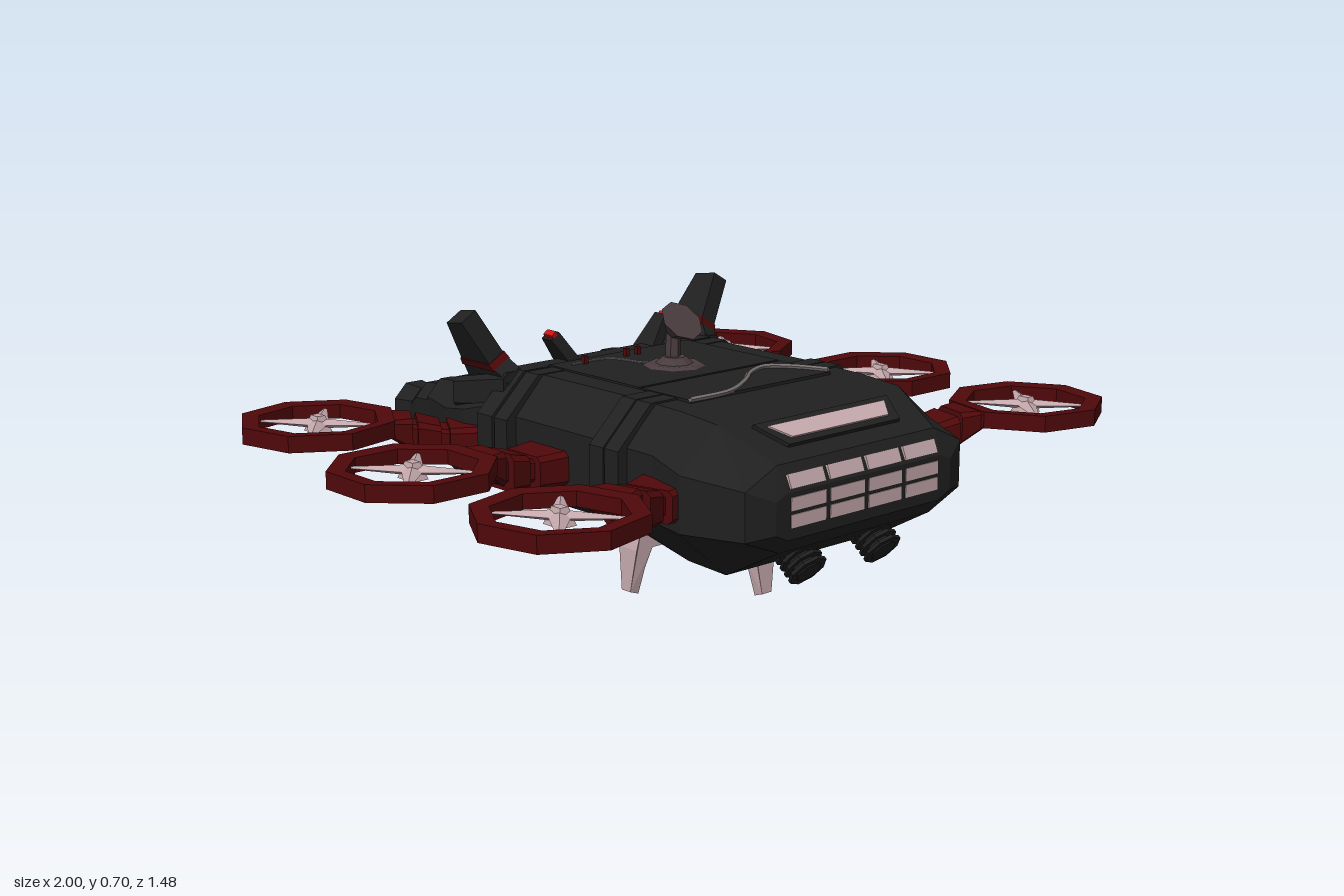
import * as THREE from 'three';

const mat = (color) => new THREE.MeshStandardMaterial({ color, flatShading: true, side: THREE.DoubleSide });
const black = mat(0x202020), red = mat(0x50080a), bright = mat(0xcc1111);
const pale = mat(0xc4a8ac), bronze = mat(0x4a3c3e), grey = mat(0x77706f);

function add(parent, name, geometry, material, x = 0, y = 0, z = 0, rx = 0, ry = 0) {
  const mesh = new THREE.Mesh(geometry, material);
  mesh.name = name;
  mesh.position.set(x, y, z);
  mesh.rotation.set(rx, ry, 0);
  parent.add(mesh);
  return mesh;
}
const box = (w, h, d) => new THREE.BoxGeometry(w, h, d);

function group(parent, name, x = 0, y = 0, z = 0) {
  const g = new THREE.Group();
  g.name = name;
  g.position.set(x, y, z);
  parent.add(g);
  return g;
}

// Eight-sided section: z, half width, side top/bottom, roof half width/height, floor half width/height
const section = (z, w, y2, y1, t, top, b, bot, cx = 0) => [
  [w, y1], [w, y2], [t, top], [-t, top], [-w, y2], [-w, y1], [-b, bot], [b, bot],
].map(([x, y]) => [x + cx, y, z]);

// Simple chamfered block section
const block = (z, w, top, bot, cx = 0, c = 0.3) => {
  const k = c * Math.min(w, (top - bot) / 2);
  return section(z, w, top - k, bot + k, w - k, top, w - k, bot, cx);
};

// Closed skin over sections ordered by rising z
function loft(sections) {
  const n = sections[0].length, index = [];
  for (let i = 0; i < sections.length - 1; i++) {
    for (let j = 0; j < n; j++) {
      const k = (j + 1) % n, a = i * n + j, b = i * n + k;
      index.push(a, b, b + n, a, b + n, a + n);
    }
  }
  const last = (sections.length - 1) * n;
  for (let j = 1; j < n - 1; j++) index.push(0, j + 1, j, last, last + j, last + j + 1);
  const g = new THREE.BufferGeometry();
  g.setAttribute('position', new THREE.Float32BufferAttribute(sections.flat(2), 3));
  g.setIndex(index);
  g.computeVertexNormals();
  return g;
}

function extrude(points, depth, hole) {
  const shape = new THREE.Shape(points.map((p) => new THREE.Vector2(...p)));
  if (hole) shape.holes.push(new THREE.Path(hole.map((p) => new THREE.Vector2(...p))));
  return new THREE.ExtrudeGeometry(shape, { depth, bevelEnabled: false }).translate(0, 0, -depth / 2);
}

function moveVertices(g, rule) {
  const p = g.attributes.position, v = new THREE.Vector3();
  for (let i = 0; i < p.count; i++) {
    rule(v.fromBufferAttribute(p, i));
    p.setXYZ(i, v.x, v.y, v.z);
  }
  g.computeVertexNormals();
  return g;
}

// Fin from a (z, y) outline, leaning outwards from x0 at height y0, cut square to the lean
const leaningFin = (outline, thick, x0, y0, slope) => moveVertices(
  extrude(outline, thick).rotateY(-Math.PI / 2), (v) => {
    const across = v.x;
    v.x += x0 + slope * (v.y - y0);
    v.y -= slope * across;
  });

function buildRotor(parent, side, x0, z0, cx, cz) {
  const dx = cx - x0, dz = cz - z0, len = Math.hypot(dx, dz), edge = len - 0.19;
  const g = group(parent, 'rotorUnit', side * x0, 0, z0);
  g.rotation.y = Math.atan2(side * dx, dz);
  // Stepped arm
  add(g, 'armRoot', loft([block(-0.04, 0.085, 0.39, 0.3), block(edge * 0.34, 0.07, 0.385, 0.305)]), red);
  add(g, 'armNeck', loft([block(edge * 0.3, 0.05, 0.375, 0.318), block(edge * 0.9, 0.045, 0.4, 0.335)]), red);
  add(g, 'armKnuckle', loft([block(edge * 0.44, 0.06, 0.39, 0.308), block(edge * 0.72, 0.068, 0.405, 0.31)]), red);
  add(g, 'armCollar', loft([block(edge * 0.78, 0.056, 0.412, 0.325), block(edge + 0.012, 0.07, 0.413, 0.368)]), red);
  // Octagonal guard ring
  const profile = [[0.16, 0.375], [0.206, 0.372], [0.206, 0.415], [0.16, 0.412], [0.16, 0.375]];
  add(g, 'guardRing', new THREE.LatheGeometry(profile.map((p) => new THREE.Vector2(...p)), 8, Math.PI / 8), red, 0, 0, len);
  // Hub and four tapered blades, always set diagonally to the hull
  const fan = group(g, 'fan', 0, 0.4, len);
  fan.rotation.y = -g.rotation.y;
  add(fan, 'hub', new THREE.CylinderGeometry(0.018, 0.036, 0.042, 4).rotateY(Math.PI / 4).scale(0.9, 1, 1.2), pale);
  for (let i = 0; i < 4; i++) {
    const blade = new THREE.CylinderGeometry(0.007, 0.026, 0.14, 4).rotateX(Math.PI / 2).scale(1, 0.5, 1).translate(0, 0, 0.08);
    const angle = (i % 2 ? -0.7 : 0.7) + (i > 1 ? Math.PI : 0);
    add(fan, 'blade', blade, pale, 0, 0, 0, 0, angle);
  }
}

export function createModel() {
  const model = new THREE.Group();
  model.name = 'hoverVehicle';

  // Hull
  add(model, 'hull', loft([
    section(-0.42, 0.35, 0.42, 0.3, 0.29, 0.465, 0.24, 0.27),
    section(-0.3, 0.39, 0.43, 0.28, 0.31, 0.505, 0.28, 0.226),
    section(-0.24, 0.4, 0.44, 0.28, 0.31, 0.525, 0.3, 0.205),
    section(-0.18, 0.4, 0.44, 0.28, 0.31, 0.535, 0.3, 0.205),
    section(0.22, 0.4, 0.44, 0.28, 0.31, 0.535, 0.3, 0.205),
    section(0.4, 0.405, 0.44, 0.28, 0.31, 0.53, 0.29, 0.16),
    section(0.52, 0.43, 0.42, 0.28, 0.31, 0.52, 0.28, 0.15),
    section(0.675, 0.37, 0.4, 0.28, 0.27, 0.447, 0.26, 0.235),
    section(0.705, 0.3, 0.37, 0.29, 0.265, 0.385, 0.26, 0.272),
  ]), black);

  // Hull ribs and raised roof panels
  for (const [z, w] of [[-0.21, 0.06], [-0.145, 0.05], [0.225, 0.05], [0.28, 0.05]]) {
    const rib = (d) => section(z + d * w / 2, 0.43, 0.435, 0.29, 0.325, 0.537, 0.31, z > 0 ? 0.2 : 0.203);
    add(model, 'rib', loft([rib(-1), rib(1)]), black);
  }
  add(model, 'roofPanel', box(0.48, 0.01, 0.35), black, 0, 0.535, -0.01);
  add(model, 'frontRoofPanel', box(0.48, 0.01, 0.18), black, 0, 0.534, 0.262);

  // Windscreen in a dark frame on the front slope
  const trapezoid = (a, b, h) => [[-b, -h], [b, -h], [a, h], [-a, h]];
  const slope = -Math.PI / 2 + 0.44;
  add(model, 'windscreenFrame', extrude(trapezoid(0.23, 0.19, 0.045), 0.014), black, 0, 0.489, 0.592, slope);
  add(model, 'windscreen', extrude(trapezoid(0.2, 0.165, 0.026), 0.02), pale, 0, 0.49, 0.593, slope);

  // Front windows
  for (let c = 0; c < 4; c++) {
    const x = (c - 1.5) * 0.13;
    add(model, 'frontWindow', box(0.115, 0.036, 0.012), pale, x, 0.408, 0.694, -0.38);
    for (const y of [0.357, 0.316]) add(model, 'frontWindow', box(0.115, 0.032, 0.01), pale, x, y, 0.702);
  }

  // Rear lamps between dark bars, with vents above
  for (let c = -1; c <= 1; c++) {
    for (let r = 0; r < 3; r++) add(model, 'rearLamp', box(0.07, 0.026, 0.01), bright, c * 0.105, 0.308 + r * 0.046, -0.421);
    add(model, 'rearVent', box(0.085, 0.012, 0.01), red, c * 0.105, 0.443, -0.421);
  }
  for (let i = 0; i < 4; i++) {
    add(model, 'lampBar', box(0.34, 0.014, 0.02), black, 0, 0.285 + i * 0.046, -0.422);
    add(model, 'lampPost', box(0.022, 0.15, 0.02), black, (i - 1.5) * 0.105, 0.354, -0.422);
  }

  // Rear roof marker, belly panel and roof lamps
  add(model, 'roofMarker', extrude([[-0.1, -0.01], [0.1, -0.01], [0.03, 0.018], [-0.03, 0.018]], 0.012), red, 0, 0.499, -0.312, -Math.PI / 2 - 0.33);
  add(model, 'bellyPanel', extrude(trapezoid(0.19, 0.13, 0.045), 0.012), pale, 0, 0.23, -0.31, Math.PI / 2 + 0.345);
  for (const x of [-0.16, -0.02, 0.02]) add(model, 'roofLamp', box(0.012, 0.03, 0.012), red, x, 0.545, -0.135);

  // Roof cables
  const cable = (pts, r) => new THREE.TubeGeometry(new THREE.CatmullRomCurve3(pts.map(([x, z]) => new THREE.Vector3(x, 0.543, z))), 32, r, 5);
  add(model, 'roofCable', cable([[-0.25, 0.36], [-0.12, 0.355], [0, 0.29], [0.08, 0.23], [0.15, 0.21], [0.2, 0.26], [0.24, 0.345]], 0.007), grey);
  add(model, 'dishWire', cable([[-0.2, -0.14], [-0.08, -0.13], [-0.05, -0.04], [-0.02, 0]], 0.003), grey);

  // Dish antenna
  const dish = group(model, 'dishAntenna', 0, 0, 0.03);
  add(dish, 'dishBase', new THREE.CylinderGeometry(0.07, 0.085, 0.008, 8), bronze, 0, 0.542);
  add(dish, 'dishFoot', new THREE.CylinderGeometry(0.03, 0.05, 0.018, 8), bronze, 0, 0.554);
  add(dish, 'dishPost', new THREE.CylinderGeometry(0.018, 0.02, 0.11, 6), bronze, 0, 0.605, -0.005);
  add(dish, 'dishHead', new THREE.CylinderGeometry(0.06, 0.025, 0.045, 8), bronze, 0, 0.643, 0.013, Math.PI / 4);

  // Mirrored parts: engines, fins, lamps
  for (const side of [1, -1]) {
    const half = group(model, side > 0 ? 'leftSide' : 'rightSide');
    half.scale.x = side;
    add(half, 'engine', loft([block(-0.57, 0.062, 0.45, 0.257, 0.283, 0.7), block(-0.42, 0.1, 0.47, 0.205, 0.295, 0.6),
      block(-0.33, 0.11, 0.49, 0.205, 0.295, 0.6), block(-0.22, 0.095, 0.51, 0.24, 0.29, 0.6)]), black);
    add(half, 'engineNeck', loft([block(-0.68, 0.05, 0.39, 0.285, 0.275, 0.6), block(-0.63, 0.06, 0.43, 0.265, 0.28, 0.6),
      block(-0.55, 0.066, 0.44, 0.262, 0.283, 0.6)]), black);
    add(half, 'nozzle', loft([block(-0.735, 0.065, 0.41, 0.277, 0.27, 0.6), block(-0.67, 0.052, 0.405, 0.285, 0.272, 0.6)]), black);
    add(half, 'finRoot', loft([block(-0.38, 0.065, 0.5, 0.42, 0.335), block(-0.2, 0.065, 0.535, 0.44, 0.31)]), black);
    add(half, 'tailFin', leaningFin([[-0.375, 0.47], [-0.33, 0.67], [-0.26, 0.68], [-0.235, 0.56], [-0.2, 0.53], [-0.19, 0.47]], 0.045, 0.31, 0.47, 0.6), black);
    add(half, 'finBand', leaningFin([[-0.36, 0.55], [-0.355, 0.568], [-0.235, 0.568], [-0.225, 0.55]], 0.05, 0.31, 0.47, 0.6), red);
    add(half, 'smallFin', leaningFin([[-0.27, 0.51], [-0.25, 0.605], [-0.21, 0.605], [-0.19, 0.51]], 0.025, 0.14, 0.53, 0.75), black);
    add(half, 'smallFinTip', leaningFin([[-0.245, 0.6], [-0.243, 0.613], [-0.208, 0.613], [-0.21, 0.6]], 0.014, 0.14, 0.53, 0.75), bright);

    // Ribbed lamp under the nose
    const lamp = group(half, 'noseLamp', 0.13, 0.19, 0.605);
    lamp.rotation.x = Math.PI * 0.72;
    add(lamp, 'lampBody', new THREE.CylinderGeometry(0.035, 0.035, 0.1, 8), black, 0, 0.005, 0);
    for (let i = 0; i < 4; i++) add(lamp, 'lampRib', new THREE.CylinderGeometry(0.052, 0.052, 0.009, 8), black, 0, -0.01 + i * 0.019, 0);

    for (const [x0, z0, cx, cz] of [[0.41, 0.005, 0.808, 0.005], [0.39, 0.43, 0.797, 0.535], [0.37, -0.325, 0.713, -0.537]])
      buildRotor(model, side, x0, z0, cx, cz);
  }

  // Four-armed landing claw
  const claw = group(model, 'landingClaw', 0, 0, 0.125);
  add(claw, 'clawPlate', box(0.14, 0.008, 0.14), black, 0, 0.197, 0);
  add(claw, 'clawPost', new THREE.CylinderGeometry(0.02, 0.02, 0.06, 8), red, 0, 0.195, 0);
  const arm = [[0, 0.19], [0.195, 0.19], [0.226, 0.178], [0.243, 0.12], [0.25, 0.01], [0.222, 0], [0.208, 0.07], [0.19, 0.12], [0, 0.12]];
  const slot = [[0.03, 0.135], [0.17, 0.135], [0.178, 0.172], [0.03, 0.172]];
  for (let i = 0; i < 4; i++) {
    const g = moveVertices(extrude(arm, 0.066, slot), (v) => { v.z *= 0.45 + 0.55 * Math.min(1, v.y / 0.12); });
    add(claw, 'clawArm', g, pale, 0, 0, 0, 0, i * Math.PI / 2);
  }
  return model;
}
